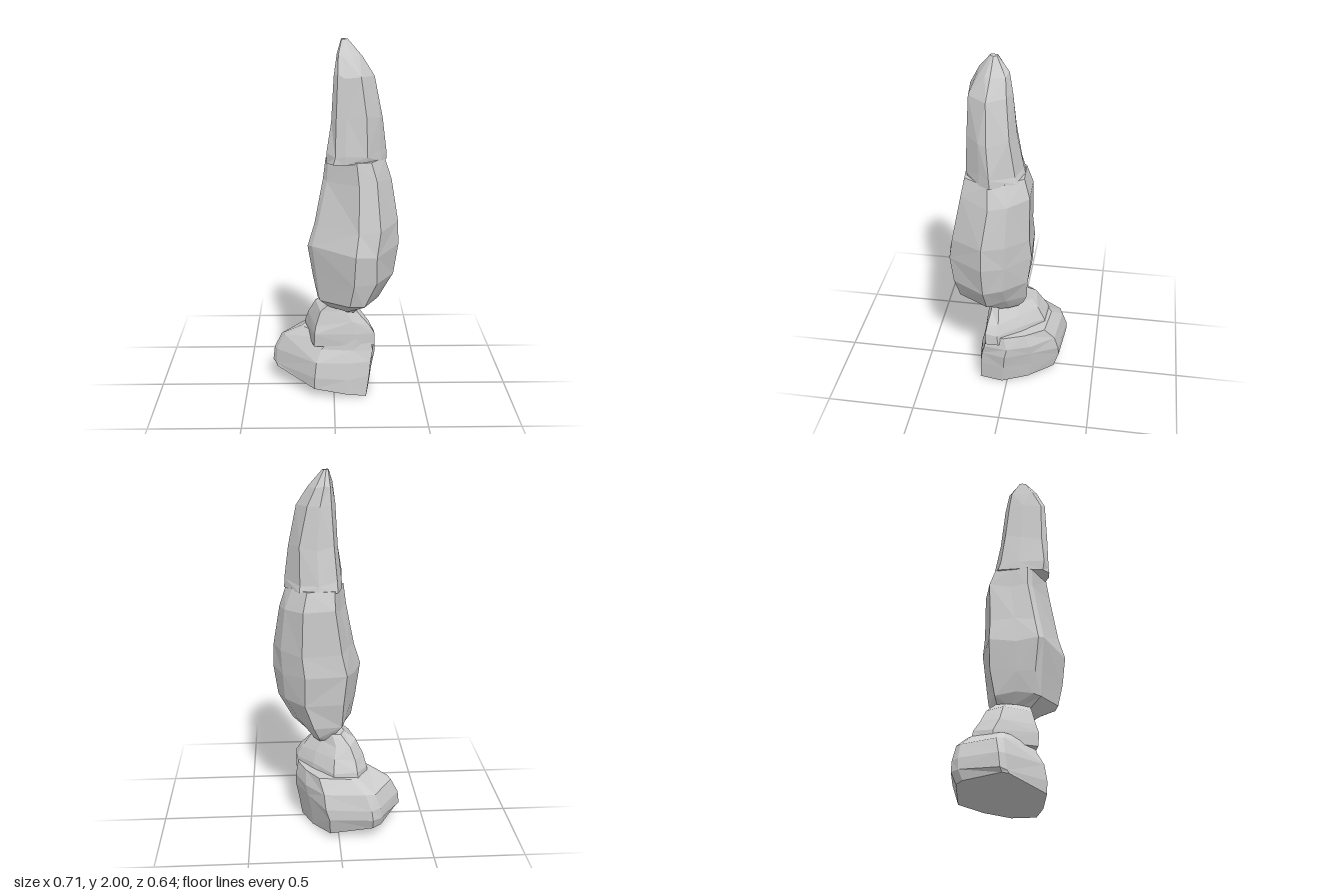
import * as THREE from 'three';

// Small seeded noise for the chipped look of the stone
function makeRandom(seed) {
  let s = seed;
  return () => {
    s = (s * 16807) % 2147483647;
    return s / 2147483647 - 0.5;
  };
}

// Stretch an outline so it fills one level's extents
function fit(outline, [xMin, xMax, zMin, zMax]) {
  const xs = outline.map(p => p[0]), zs = outline.map(p => p[1]);
  const x0 = Math.min(...xs), x1 = Math.max(...xs);
  const z0 = Math.min(...zs), z1 = Math.max(...zs);
  return outline.map(([x, z]) => [
    THREE.MathUtils.mapLinear(x, x0, x1, xMin, xMax),
    THREE.MathUtils.mapLinear(z, z0, z1, zMin, zMax),
  ]);
}

// Closed faceted rock: levels are [y, xMin, xMax, zMin, zMax]
function rock(name, outline, levels, material, seed, bottomY) {
  const random = makeRandom(seed);
  const n = outline.length, last = levels.length - 1;
  const points = [], index = [];
  levels.forEach(([y, ...extent], i) => {
    const inner = i > 0 && i < last;
    fit(outline, extent).forEach(([x, z]) => {
      const level = i === 0 && bottomY ? bottomY(x) : y;
      points.push(
        x + (inner ? random() * 0.012 : 0),
        level + (inner ? random() * 0.03 : 0),
        z + (inner ? random() * 0.012 : 0));
    });
  });
  for (let i = 0; i < last; i++) {
    for (let j = 0; j < n; j++) {
      const a = i * n + j, b = i * n + (j + 1) % n, c = a + n, d = b + n;
      // Alternate the diagonals so that the facets look broken
      if ((i + j) % 2) index.push(a, c, b, b, c, d);
      else index.push(a, c, d, a, d, b);
    }
  }
  for (let j = 1; j < n - 1; j++) {
    index.push(0, j, j + 1);
    index.push(last * n, last * n + j + 1, last * n + j);
  }
  const indexed = new THREE.BufferGeometry();
  indexed.setAttribute('position', new THREE.Float32BufferAttribute(points, 3));
  indexed.setIndex(index);
  const geometry = indexed.toNonIndexed();
  geometry.computeVertexNormals();
  const mesh = new THREE.Mesh(geometry, material);
  mesh.name = name;
  return mesh;
}

export function createModel() {
  const group = new THREE.Group();
  group.name = 'standingStone';
  const stone = new THREE.MeshStandardMaterial({ color: 0xcccccc, flatShading: true });

  // Wide foot with a sloping underside
  const footOutline = [
    [-0.35, -0.1], [-0.24, -0.29], [-0.19, -0.32], [0.06, -0.29], [0.16, -0.14],
    [0.22, 0.02], [0.2, 0.16], [0.08, 0.18], [-0.11, 0.17], [-0.34, -0.06],
  ];
  const footLevels = [
    [0, -0.34, 0.2, -0.29, 0.18],
    [0.12, -0.35, 0.215, -0.32, 0.18],
    [0.2, -0.345, 0.23, -0.315, 0.165],
    [0.27, -0.3, 0.24, -0.295, 0.14],
    [0.345, -0.18, 0.22, -0.23, 0.13],
  ];
  group.add(rock('foot', footOutline, footLevels, stone, 41,
    x => Math.max(0, 0.035 - 0.175 * x)));

  // Neck rising from the foot and tapering into the body
  const neckOutline = [
    [-0.15, -0.08], [-0.1, -0.17], [0.02, -0.16], [0.12, -0.06],
    [0.2, 0.05], [0.2, 0.11], [0.1, 0.12], [-0.1, 0.12],
  ];
  const neckLevels = [
    [0.3, -0.17, 0.23, -0.22, 0.13],
    [0.36, -0.16, 0.225, -0.21, 0.13],
    [0.43, -0.15, 0.2, -0.165, 0.12],
    [0.5, -0.11, 0.14, -0.13, 0.11],
    [0.55, -0.04, 0.1, -0.08, 0.1],
  ];
  group.add(rock('neck', neckOutline, neckLevels, stone, 73));

  // Swelling body
  const bodyOutline = [
    [-0.14, 0.13], [-0.1, 0.02], [-0.05, -0.12], [0.18, -0.13], [0.3, 0],
    [0.35, 0.12], [0.23, 0.31], [0.11, 0.32], [-0.12, 0.17],
  ];
  const bodyLevels = [
    [0.5, 0.02, 0.14, -0.05, 0.12],
    [0.54, -0.03, 0.17, -0.08, 0.18],
    [0.6, -0.09, 0.25, -0.1, 0.275],
    [0.73, -0.12, 0.33, -0.12, 0.3],
    [0.9, -0.14, 0.345, -0.13, 0.32],
    [1.03, -0.11, 0.35, -0.125, 0.295],
    [1.27, -0.06, 0.315, -0.125, 0.25],
    [1.38, -0.045, 0.27, -0.09, 0.225],
  ];
  group.add(rock('body', bodyOutline, bodyLevels, stone, 97));

  // Slender spire with cut corners, leaning to its tip
  const spireOutline = [
    [-0.02, 0.18], [-0.015, 0.06], [0.01, -0.03], [0.1, -0.045], [0.19, -0.02],
    [0.26, 0.09], [0.23, 0.14], [0.16, 0.2], [0.06, 0.22], [0.01, 0.215],
  ];
  const spireLevels = [
    [1.37, -0.04, 0.28, -0.09, 0.23],
    [1.42, -0.035, 0.28, -0.075, 0.23],
    [1.6, -0.015, 0.26, -0.045, 0.22],
    [1.82, 0, 0.21, -0.015, 0.21],
    [1.92, 0.01, 0.145, 0, 0.16],
    [2, 0.035, 0.07, 0.06, 0.1],
  ];
  group.add(rock('spire', spireOutline, spireLevels, stone, 29));

  return group;
}
